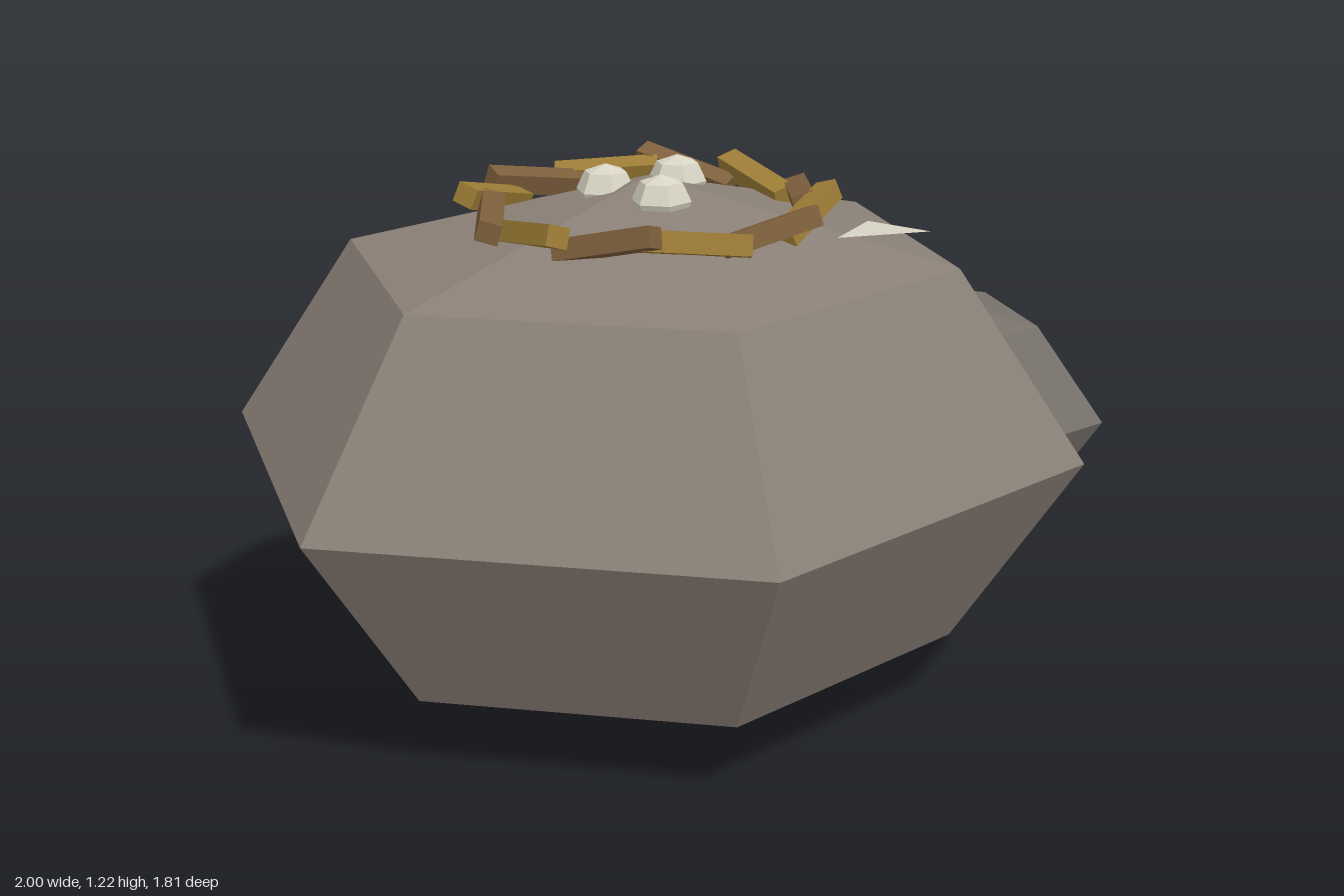
import * as THREE from 'three';

const material = (color) => new THREE.MeshStandardMaterial({ color, flatShading: true });

// Faceted six-sided boulder or egg with corners facing +z and -z
function facetedBall(name, mat, position, radii) {
  const geometry = new THREE.SphereGeometry(1, 6, 4).rotateY(Math.PI / 2);
  geometry.scale(...radii);
  const mesh = new THREE.Mesh(geometry, mat);
  mesh.name = name;
  mesh.position.set(...position);
  return mesh;
}

export function createModel() {
  const model = new THREE.Group();
  model.name = 'bouldersWithNest';

  // Boulders
  model.add(facetedBall('mainBoulder', material(0x8a8077), [-0.157, 0.6, 0], [0.975, 0.595, 0.905]));
  model.add(facetedBall('sideBoulder', material(0x77716a), [0.49, 0.487, -0.33], [0.589, 0.333, 0.453]));

  // Ring of overlapping twigs, each skewed from the tangent and tilted
  const nest = new THREE.Group();
  nest.name = 'nest';
  nest.position.set(-0.157, 1.128, 0);
  const twigMaterials = [material(0x9c7c36), material(0x7d5f3c)];
  const tilts = [-0.06, 0.24, 0.16];
  const twigGeometry = new THREE.BoxGeometry(0.235, 0.045, 0.05);
  for (let i = 0; i < 12; i++) {
    const angle = (i * Math.PI) / 6;
    const twig = new THREE.Mesh(twigGeometry, twigMaterials[i % 2]);
    twig.name = 'twig' + (i + 1);
    twig.position.set(Math.sin(angle) * 0.348, 0, -Math.cos(angle) * 0.348);
    twig.rotation.order = 'YZX';
    twig.rotation.set(0.3, -angle - 0.25, -tilts[i % 3]);
    nest.add(twig);
  }
  model.add(nest);

  // Eggs
  const shell = material(0xd8d4c4);
  [[-0.243, -0.03], [-0.07, -0.073], [-0.157, 0.105]].forEach(([x, z], i) => {
    model.add(facetedBall('egg' + (i + 1), shell, [x, 1.163, z], [0.066, 0.057, 0.064]));
  });

  // Loose feather lying beside the nest
  const featherGeometry = new THREE.BufferGeometry().setFromPoints([
    new THREE.Vector3(0.195, 1.085, 0.23),
    new THREE.Vector3(0.375, 1.105, 0.31),
    new THREE.Vector3(0.295, 1.095, 0.145),
  ]);
  featherGeometry.computeVertexNormals();
  const featherMaterial = material(0xd8d4c4);
  featherMaterial.side = THREE.DoubleSide;
  const feather = new THREE.Mesh(featherGeometry, featherMaterial);
  feather.name = 'feather';
  model.add(feather);

  return model;
}
